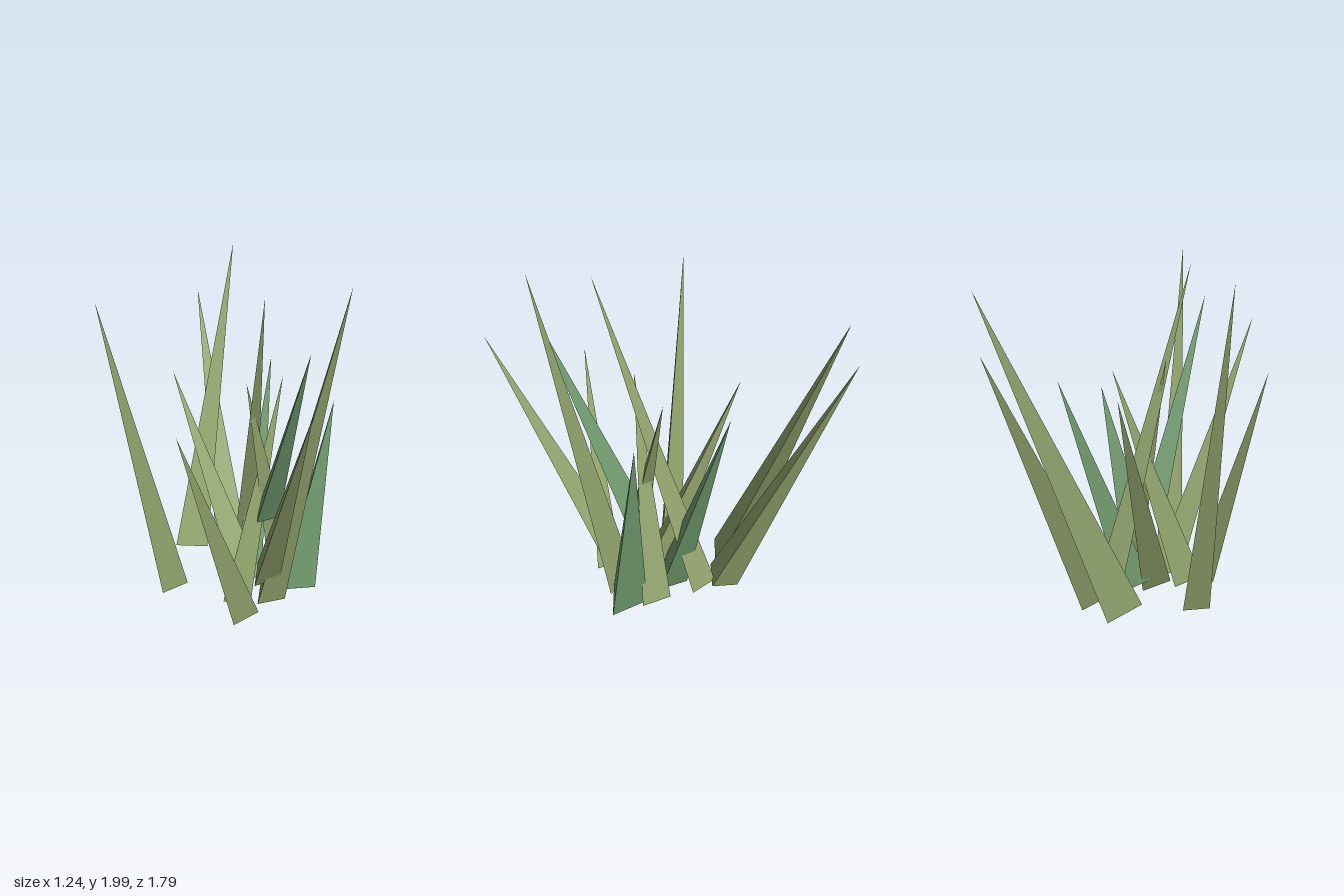
import * as THREE from 'three';

const olive = new THREE.MeshStandardMaterial({ color: 0x97a970, flatShading: true });
const green = new THREE.MeshStandardMaterial({ color: 0x76a274, flatShading: true });

// One blade: a three-sided spike from the centre of its base to its tip
function blade(base, tip, radius, material) {
  const foot = new THREE.Vector3(...base);
  const axis = new THREE.Vector3(...tip).sub(foot);
  const length = axis.length();
  const geometry = new THREE.ConeGeometry(radius, length, 3, 1, false, Math.PI / 2);
  geometry.translate(0, length / 2, 0);
  const mesh = new THREE.Mesh(geometry, material);
  mesh.position.copy(foot);
  mesh.quaternion.setFromUnitVectors(new THREE.Vector3(0, 1, 0), axis.normalize());
  return mesh;
}

export function createModel() {
  const group = new THREE.Group();
  group.name = 'grassClump';

  // base centre, tip, base radius
  const oliveBlades = [
    [[-0.297, 0.055, 0.22], [-0.62, 1.8, 0.29], 0.09],
    [[-0.035, 0.063, -0.265], [-0.3, 1.46, -0.9], 0.115],
    [[-0.27, 0.06, -0.18], [-0.08, 1.76, -0.9], 0.12],
    [[0.12, 0.06, 0.13], [-0.34, 1.21, -0.22], 0.1],
    [[0.135, 0.045, 0.42], [-0.16, 1.3, 0.7], 0.09],
    [[0.24, 0.22, 0.29], [0.48, 1.56, 0.89], 0.09],
    [[0.26, 0.05, 0.25], [0.62, 2, 0.48], 0.1],
    [[0.06, 0.06, -0.18], [0.22, 1.89, 0.38], 0.09],
    [[0.31, 0.06, 0], [0.12, 1.36, 0.2], 0.105],
    [[0.07, 0.06, 0.31], [0.29, 1.29, -0.07], 0.1],
  ];
  const greenBlades = [
    [[0.23, 0.55, 0.17], [0.45, 1.7, 0.56], 0.08],
    [[0.1, 0.06, 0], [0.2, 1.25, -0.41], 0.105],
    [[0.4, 0.06, 0.13], [0.57, 1.16, -0.06], 0.128],
  ];

  oliveBlades.forEach(([base, tip, r], i) => {
    const mesh = blade(base, tip, r, olive);
    mesh.name = `oliveBlade${i + 1}`;
    group.add(mesh);
  });
  greenBlades.forEach(([base, tip, r], i) => {
    const mesh = blade(base, tip, r, green);
    mesh.name = `greenBlade${i + 1}`;
    group.add(mesh);
  });
  return group;
}
